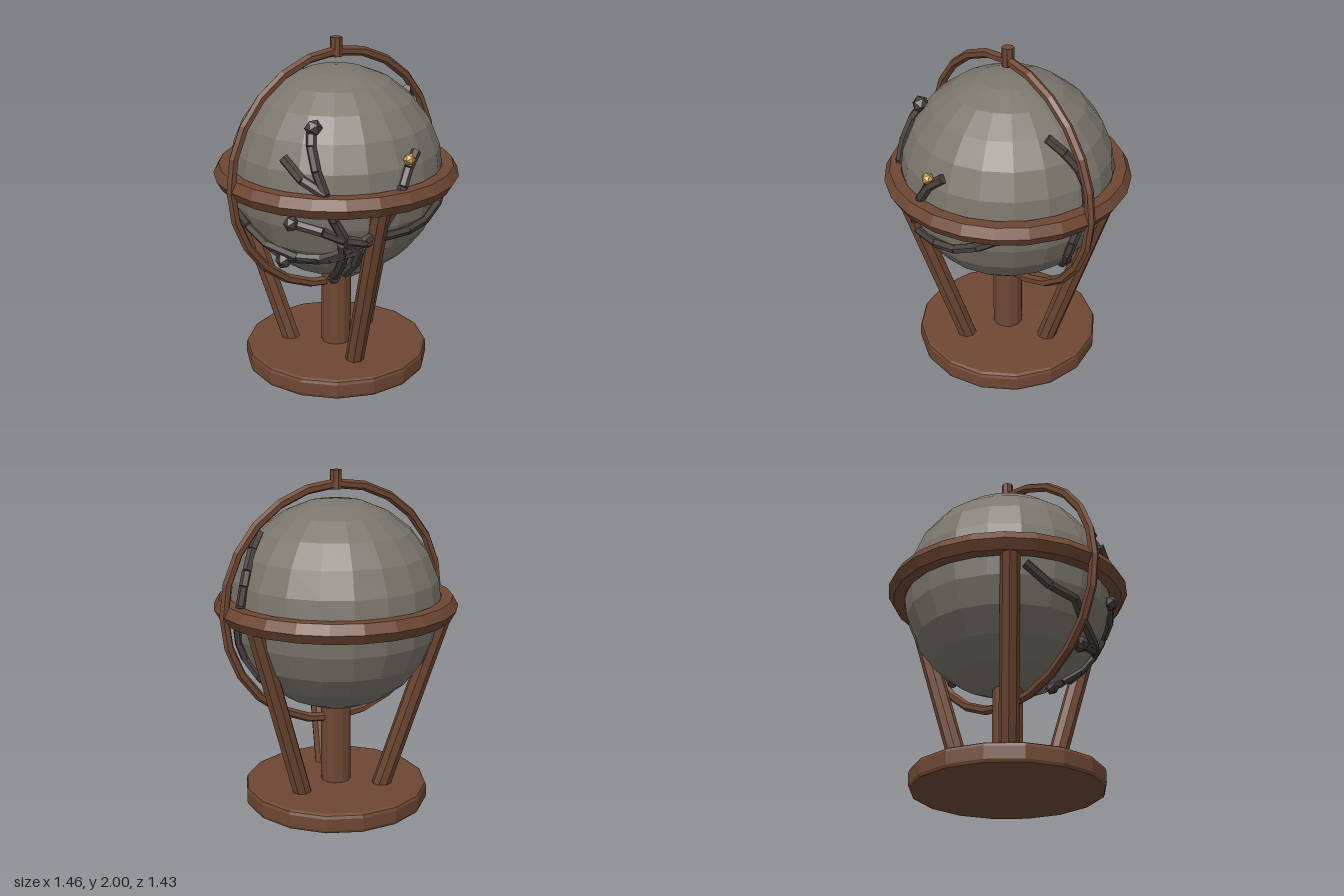
import * as THREE from 'three';

const mat = (name, color) => Object.assign(new THREE.MeshStandardMaterial({ color, flatShading: true }), { name });
const CENTRE = new THREE.Vector3(0, 1.22, 0);
const R = 0.62;

export function createModel() {
  const wood = mat('wood', 0x6e4733);
  const stone = mat('stone', 0x7b766d);
  const vineMat = mat('darkVine', 0x47413d);
  const gold = mat('gold', 0xc9a050);
  const model = new THREE.Group();

  const add = (name, geo, material, pos = [0, 0, 0], parent = model) => {
    const mesh = new THREE.Mesh(geo, material);
    mesh.name = name;
    mesh.position.set(...pos);
    parent.add(mesh);
    return mesh;
  };
  // Cylinder running between two points
  const rod = (name, a, b, r, sides, material, parent = model) => {
    const mesh = add(name, new THREE.CylinderGeometry(r, r, a.distanceTo(b), sides), material, [0, 0, 0], parent);
    mesh.position.copy(a).add(b).multiplyScalar(0.5);
    mesh.quaternion.setFromUnitVectors(new THREE.Vector3(0, 1, 0), b.clone().sub(a).normalize());
    return mesh;
  };

  // Base with softened rim
  const profile = [[0, 0], [0.53, 0], [0.546, 0.008], [0.553, 0.025], [0.553, 0.095], [0.546, 0.112], [0.53, 0.12], [0, 0.12]]
    .map(([x, y]) => new THREE.Vector2(x, y));
  const base = add('base', new THREE.LatheGeometry(profile, 16), wood);
  base.rotation.y = Math.PI / 16;
  add('column', new THREE.CylinderGeometry(0.09, 0.09, 0.56, 12), wood, [0, 0.38, 0]);

  // Three splayed legs
  for (let i = 0; i < 3; i++) {
    const t = THREE.MathUtils.degToRad(102 + i * 120);
    const at = (r, y) => new THREE.Vector3(Math.cos(t) * r, y, Math.sin(t) * r);
    rod('leg', at(0.28, 0.1), at(0.625, 1.18), 0.056, 8, wood);
  }

  // Globe, rings and top pin
  add('globe', new THREE.SphereGeometry(R, 20, 12), stone, CENTRE.toArray());
  const horizon = add('horizonRing', new THREE.TorusGeometry(0.65, 0.065, 6, 24), wood, CENTRE.toArray());
  horizon.rotation.x = Math.PI / 2;
  add('meridianRing', new THREE.TorusGeometry(0.702, 0.028, 6, 24), wood, CENTRE.toArray());
  add('topPin', new THREE.CylinderGeometry(0.035, 0.035, 0.11, 8), wood, [0, 1.945, 0]);

  // Place a point on the globe; z defaults to the front surface
  const onGlobe = ([x, y, z], r = R + 0.005) => {
    const dy = y - CENTRE.y;
    const depth = z ?? Math.sqrt(Math.max(0, r * r - x * x - dy * dy));
    return new THREE.Vector3(x, dy, depth).setLength(r).add(CENTRE);
  };

  // Jointed vines creeping over the globe
  const vines = [
    [[0.44, 1.66, 0.09], [0.51, 1.58, 0.03], [0.58, 1.48, -0.03], [0.61, 1.4, -0.05], [0.63, 1.29, -0.05], [0.62, 1.16, 0],
      [0.61, 1.05, 0.03], [0.58, 0.95, 0.03], [0.53, 0.84, -0.02], [0.43, 0.74, -0.07]],
    [[0.14, 1.45], [0.06, 1.38], [0.01, 1.29], [-0.04, 1.18], [-0.1, 1.08], [-0.18, 1]],
    [[-0.18, 0.98], [-0.08, 1.01], [0.08, 1.01], [0.22, 1.03], [0.35, 1.09], [0.45, 1.16]],
    [[-0.375, 1.61], [-0.41, 1.52], [-0.42, 1.4], [-0.4, 1.28], [-0.36, 1.13], [-0.28, 0.99], [-0.2, 0.93]],
    [[-0.52, 1.45], [-0.48, 1.35], [-0.4, 1.28]],
    [[-0.525, 1.1], [-0.4, 1.06], [-0.3, 1.01], [-0.18, 0.98]],
    [[-0.5, 1.12, -0.34], [-0.55, 1.02, -0.2], [-0.59, 0.98, -0.03], [-0.53, 0.9], [-0.44, 0.86], [-0.32, 0.87], [-0.2, 0.93]],
    [[-0.455, 0.8], [-0.36, 0.86], [-0.27, 0.93], [-0.18, 1]],
    [[-0.3, 0.98], [-0.26, 0.87], [-0.23, 0.76], [-0.19, 0.68], [-0.16, 0.63, 0.21]],
    [[-0.2, 0.93], [-0.18, 0.82], [-0.17, 0.72]],
  ];
  const vineGroup = new THREE.Group();
  vineGroup.name = 'vines';
  model.add(vineGroup);
  for (const path of vines) {
    const pts = path.map((p) => onGlobe(p));
    for (let i = 1; i < pts.length; i++) rod('vineSegment', pts[i - 1], pts[i], 0.028, 6, vineMat, vineGroup);
  }

  // Buds at vine tips and one gold gem
  for (const [x, y, r, z] of [[-0.375, 1.61, 0.05], [-0.525, 1.1, 0.046], [-0.455, 0.8, 0.05], [-0.16, 0.63, 0.04, 0.21]])
    add('bud', new THREE.IcosahedronGeometry(r, 0), vineMat, onGlobe([x, y, z], R + 0.015).toArray(), vineGroup);
  add('goldGem', new THREE.IcosahedronGeometry(0.035, 0), gold, onGlobe([0.06, 1.43], R + 0.025).toArray());

  return model;
}
